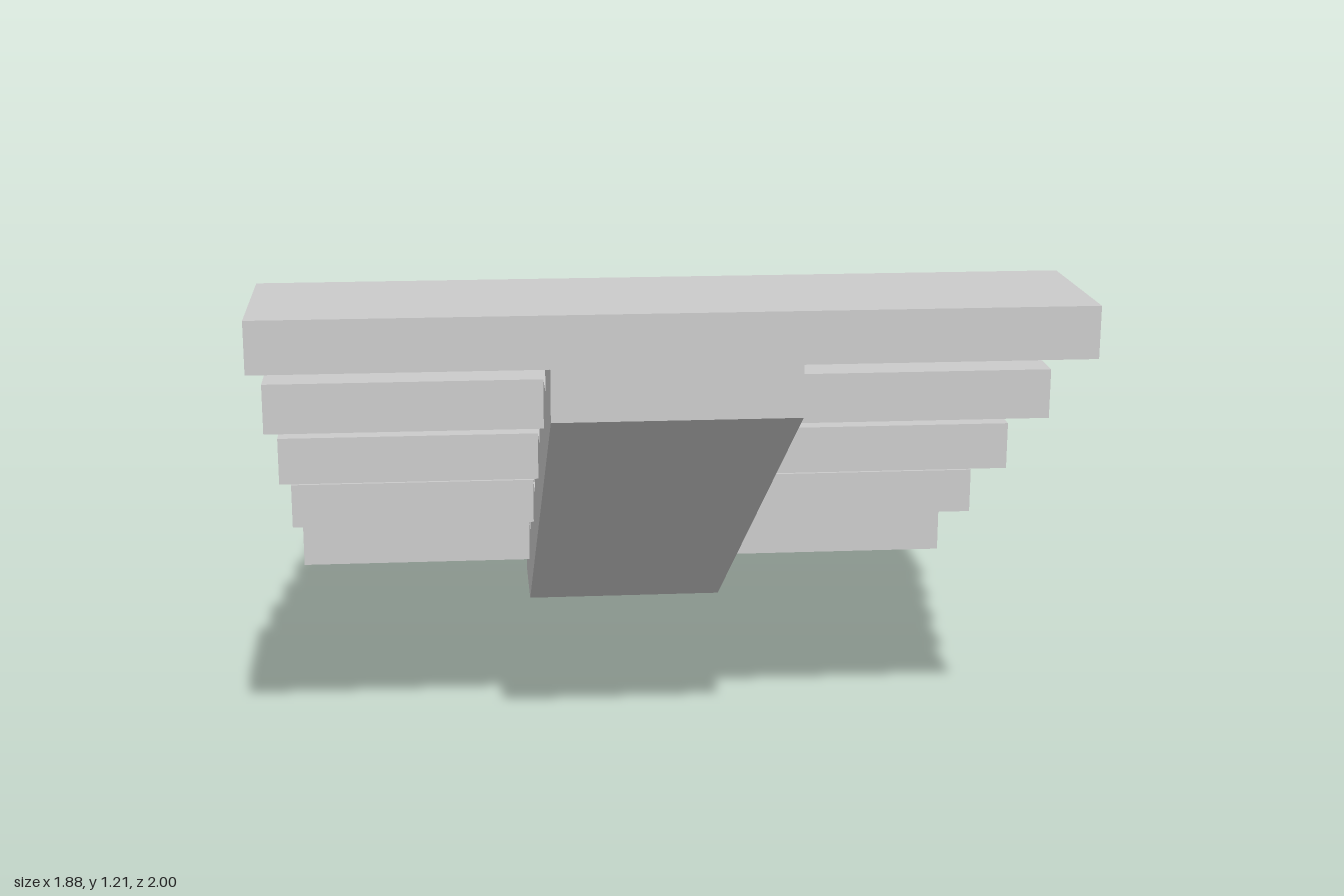
import * as THREE from 'three';

const STEPS = 5;
const DEPTH = 0.4;          // tread depth along z
const RISE = 0.2416;        // height gained per step
const THICK = RISE / 2;     // tread thickness
const WIDTH = 1.88;
const BEAM_WIDTH = 0.56;
const INSET = 0.12;         // beam riser set back from the tread nosing

export function createModel() {
  const group = new THREE.Group();
  group.name = 'staircase';
  const material = new THREE.MeshStandardMaterial({ color: 0xcccccc, flatShading: true });

  // Floating treads, climbing from the back to the front
  const treadGeometry = new THREE.BoxGeometry(WIDTH, THICK, DEPTH);
  for (let i = 0; i < STEPS; i++) {
    const tread = new THREE.Mesh(treadGeometry, material);
    tread.name = `tread${i + 1}`;
    tread.position.set(0, i * RISE + THICK * 1.5, -1 + (i + 0.5) * DEPTH);
    group.add(tread);
  }

  // Central beam: sawtooth top carrying the treads, straight sloping underside
  const profile = [];
  for (let i = 0; i < STEPS; i++) {
    const z = -1 + i * DEPTH;
    const y = i * RISE;
    profile.push([z + INSET, y], [z + INSET, y + THICK], [z + DEPTH, y + THICK]);
    if (i < STEPS - 1) profile.push([z + DEPTH, y + RISE]);
  }
  profile.push([1, (STEPS - 1) * RISE], [-1 + DEPTH, 0]);
  const shape = new THREE.Shape(profile.map(([z, y]) => new THREE.Vector2(z, y)));
  const beamGeometry = new THREE.ExtrudeGeometry(shape, { depth: BEAM_WIDTH, bevelEnabled: false });
  beamGeometry.translate(0, 0, -BEAM_WIDTH / 2);
  beamGeometry.rotateY(-Math.PI / 2);
  const beam = new THREE.Mesh(beamGeometry, material);
  beam.name = 'centralBeam';
  group.add(beam);

  return group;
}
